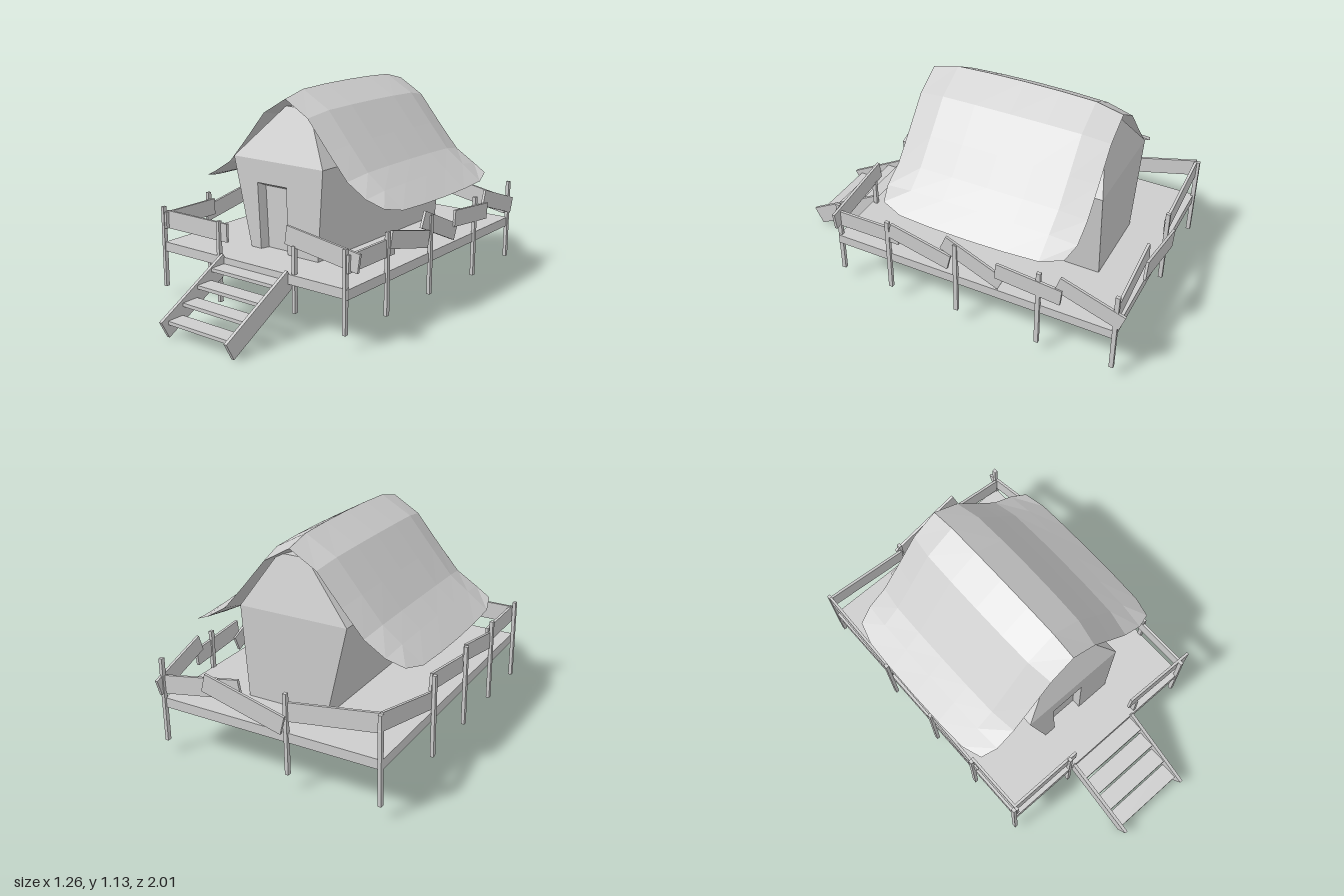
import * as THREE from 'three';

const wood = new THREE.MeshStandardMaterial({ color: 0xcccccc, flatShading: true, side: THREE.DoubleSide });
wood.name = 'plain grey';

// Geometry from four-cornered faces, corners counter-clockwise from outside
function quads(faces) {
  const pos = [];
  for (const [a, b, c, d] of faces) pos.push(...a, ...b, ...c, ...a, ...c, ...d);
  const g = new THREE.BufferGeometry();
  g.setAttribute('position', new THREE.Float32BufferAttribute(pos, 3));
  g.computeVertexNormals();
  return g;
}

export function createModel() {
  const model = new THREE.Group();
  model.name = 'hut';

  const add = (name, geometry, parent = model) => {
    const m = new THREE.Mesh(geometry, wood);
    m.name = name;
    parent.add(m);
    return m;
  };
  const box = (name, size, at, parent) => {
    const m = add(name, new THREE.BoxGeometry(...size), parent);
    m.position.set(...at);
    return m;
  };
  const group = (name) => {
    const g = new THREE.Group();
    g.name = name;
    model.add(g);
    return g;
  };

  // Raised deck
  box('deck', [1.19, 0.05, 1.53], [-0.017, 0.275, -0.19]);

  // Posts: x, z, bottom, top
  const posts = group('posts');
  for (const [x, z, y0, y1] of [
    [-0.62, 0.57, 0.055, 0.49], [-0.23, 0.565, 0.055, 0.48],
    [0.25, 0.555, 0.105, 0.44], [0.56, 0.57, 0.075, 0.49],
    [0.58, 0.265, 0.08, 0.5], [0.58, -0.12, 0.08, 0.5],
    [0.58, -0.565, 0.06, 0.5], [0.575, -0.955, 0.07, 0.51],
    [-0.62, 0.24, 0.06, 0.5], [-0.62, -0.09, 0.06, 0.49],
    [-0.62, -0.455, 0.06, 0.49], [-0.605, -0.955, 0.07, 0.52],
    [-0.125, -0.955, 0.085, 0.5],
  ]) box('post', [0.018, y1 - y0, 0.022], [x, (y0 + y1) / 2, z], posts);

  // Crooked rails along x: centre x, y, z, length, tilt
  const rails = group('rails');
  for (const [x, y, z, len, tilt] of [
    [-0.393, 0.422, 0.555, 0.425, 0], [0.413, 0.457, 0.553, 0.43, -0.14],
    [-0.365, 0.44, -0.945, 0.48, -0.15], [0.35, 0.41, -0.945, 0.45, -0.18],
    [0.085, 0.41, -0.99, 0.445, 0.25],
  ]) box('endRail', [len, 0.095, 0.014], [x, y, z], rails).rotation.z = tilt;

  // Crooked rails along z: centre x, y, z, length, tilt
  for (const [x, y, z, len, tilt] of [
    [0.575, 0.42, 0.39, 0.37, 0], [0.585, 0.42, 0.08, 0.345, -0.23],
    [0.575, 0.42, -0.21, 0.345, -0.41], [0.585, 0.415, -0.513, 0.345, -0.09],
    [0.578, 0.42, -0.825, 0.345, -0.32],
    [-0.6, 0.42, 0.4, 0.36, 0], [-0.61, 0.42, 0.09, 0.37, 0.18],
    [-0.6, 0.42, -0.26, 0.4, 0.15], [-0.605, 0.42, -0.7, 0.53, 0.25],
  ]) box('sideRail', [0.014, 0.088, len], [x, y, z], rails).rotation.x = tilt;

  // Stairs
  const stairs = group('stairs');
  for (const x of [-0.2, 0.218])
    box('stringer', [0.017, 0.1, 0.485], [x, 0.157, 0.767], stairs).rotation.x = 0.497;
  for (let i = 0; i < 4; i++)
    box('tread', [0.41, 0.018, 0.095], [0.009, 0.257 - i * 0.061, 0.617 + i * 0.099], stairs);

  // Hut walls: rings at floor, eaves and ridge
  const ring = (y, l, r, f, b) => [[l, y, f], [r, y, f], [r, y, b], [l, y, b]];
  const floor = ring(0.3, -0.205, 0.23, 0.352, -0.735);
  const eave = ring(0.765, -0.315, 0.26, 0.352, -0.735);
  const ridge = ring(1.03, -0.065, 0.085, 0.235, -0.66);
  const faces = [ridge];
  for (let i = 0; i < 4; i++) {
    const j = (i + 1) % 4;
    if (i > 0) faces.push([floor[i], floor[j], eave[j], eave[i]]);
    faces.push([eave[i], eave[j], ridge[j], ridge[i]]);
  }
  add('walls', quads(faces));

  // Front wall cut around the doorway
  const frame = [[-0.14, 0.3], [-0.158, 0.646], [0.032, 0.646], [0.037, 0.3]];
  const inner = [[-0.127, 0.3], [-0.143, 0.625], [0.028, 0.625], [0.036, 0.3]];
  const outline = [[-0.205, 0.3], ...frame, [0.23, 0.3], [0.26, 0.765], [-0.315, 0.765]];
  const front = add('frontWall', new THREE.ShapeGeometry(
    new THREE.Shape(outline.map(([x, y]) => new THREE.Vector2(x, y)))));
  front.position.z = 0.352;

  // Recessed door and its reveals
  const fo = frame.map(([x, y]) => [x, y, 0.352]);
  const fi = inner.map(([x, y]) => [x, y, 0.305]);
  add('doorFrame', quads([0, 1, 2].map((i) => [fo[i], fi[i], fi[i + 1], fo[i + 1]])));
  add('door', quads([[fi[0], fi[3], fi[2], fi[1]]]));

  // Swept roof: a cushion-shaped shell that thins to nothing at every edge
  const half = [[0, 1.08], [0.14, 0.998], [0.268, 0.845], [0.38, 0.718], [0.49, 0.65], [0.618, 0.582]];
  const swell = [1, 1, 1, 0.95, 0.6, 0];
  const stations = [[-0.51, 0], [-0.37, 0.78], [-0.19, 0.95], [0, 1], [0.19, 0.95], [0.37, 0.78], [0.51, 0]];
  const last = half.length - 1;
  const rows = (sign) => stations.map(([z, f]) => {
    const row = [];
    for (let i = -last; i <= last; i++) {
      const k = Math.abs(i), side = Math.sign(i);
      let [x, y] = half[k];
      let dz = z;
      const p = half[Math.max(k - 1, 0)], q = half[Math.min(k + 1, last)];
      const n = new THREE.Vector2(k ? p[1] - q[1] : 0, q[0] - p[0]).normalize();
      if (k === last) { // rounded eave corners
        x -= 0.043 * (1 - f);
        y += 0.03 * (1 - f);
        if (f === 0) dz *= 0.945;
      }
      const t = 0.043 * f * swell[k] * sign;
      row.push([side * (x + n.x * t) - 0.006, y + n.y * t, dz - 0.2]);
    }
    return row;
  });
  const shell = [];
  for (const sign of [1, -1]) {
    const r = rows(sign);
    for (let k = 0; k < r.length - 1; k++)
      for (let i = 0; i < r[k].length - 1; i++) {
        const face = [r[k][i], r[k + 1][i], r[k + 1][i + 1], r[k][i + 1]];
        shell.push(sign > 0 ? face : face.reverse());
      }
  }
  add('roof', quads(shell));

  return model;
}
